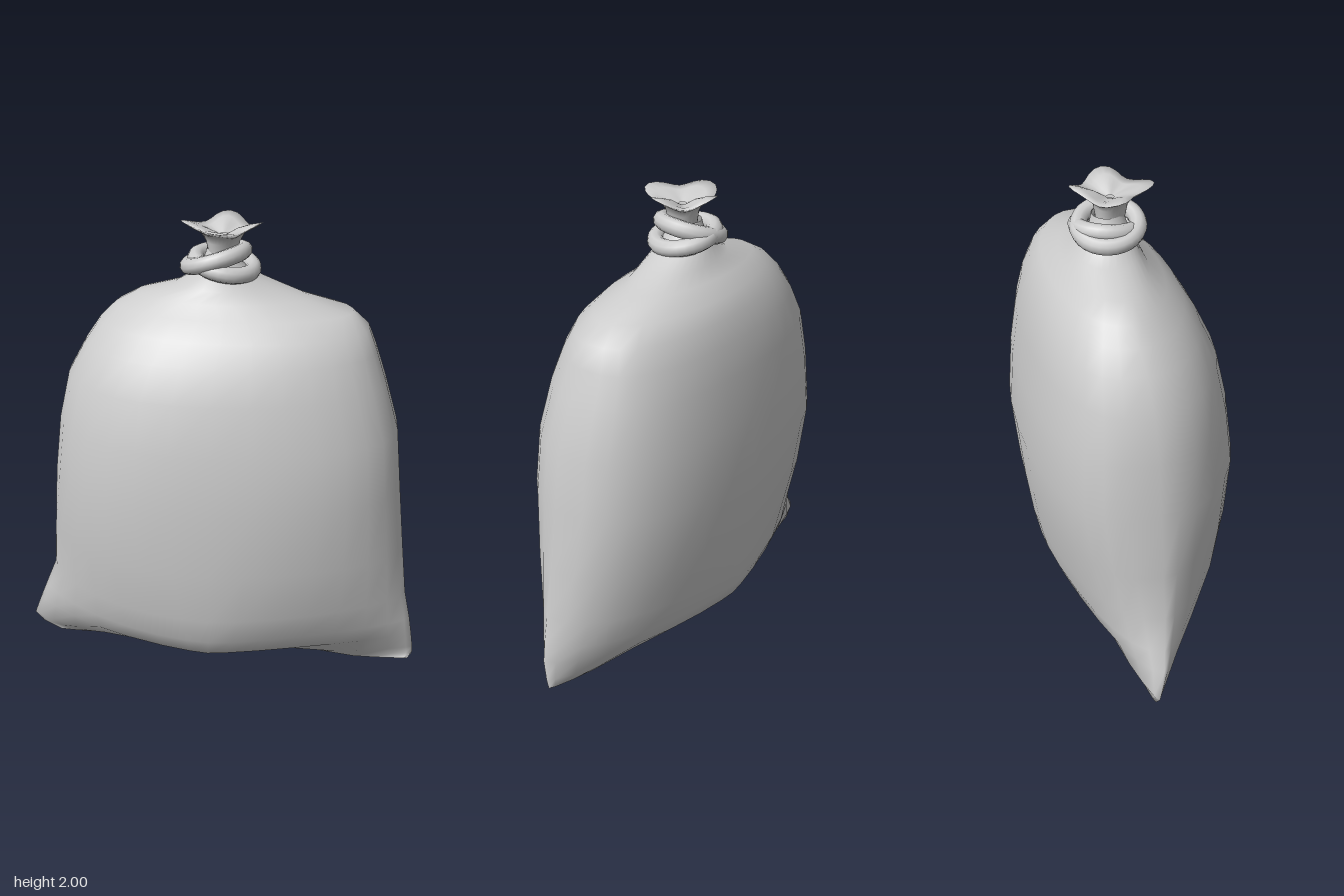
import * as THREE from 'three';

const SEG = 32;

// Skin a stack of closed rings; point(row, angle) gives each vertex
function loft(rows, point, material) {
  const pos = [], idx = [];
  rows.forEach((row, i) => {
    for (let j = 0; j < SEG; j++) {
      pos.push(...point(row, (j / SEG) * Math.PI * 2));
      if (i === rows.length - 1) continue;
      const k = (j + 1) % SEG, a = i * SEG + j, b = i * SEG + k;
      idx.push(a, a + SEG, b, b, a + SEG, b + SEG);
    }
  });
  const g = new THREE.BufferGeometry();
  g.setAttribute('position', new THREE.Float32BufferAttribute(pos, 3));
  g.setIndex(idx);
  g.computeVertexNormals();
  return new THREE.Mesh(g, material);
}

const power = (v, e) => Math.sign(v) * Math.abs(v) ** e;

// Bag cross-sections: y, left x, right x, back z, front z, roundness exponent
const BODY = [
  [0.00, -0.76, 0.86, 0.00, 0.00, 2.0],
  [0.025, -0.85, 0.88, -0.13, 0.09, 1.3],
  [0.075, -0.885, 0.88, -0.22, 0.20, 1.25],
  [0.185, -0.84, 0.87, -0.32, 0.345, 1.35],
  [0.27, -0.805, 0.857, -0.348, 0.38, 1.5],
  [0.40, -0.75, 0.83, -0.375, 0.42, 1.7],
  [0.62, -0.735, 0.805, -0.405, 0.43, 1.95],
  [0.90, -0.71, 0.775, -0.43, 0.435, 2.2],
  [1.15, -0.68, 0.75, -0.41, 0.40, 2.25],
  [1.35, -0.635, 0.69, -0.385, 0.355, 2.25],
  [1.48, -0.565, 0.645, -0.355, 0.295, 2.25],
  [1.57, -0.505, 0.61, -0.32, 0.24, 2.15],
  [1.635, -0.44, 0.54, -0.28, 0.175, 2.0],
  [1.685, -0.35, 0.36, -0.22, 0.11, 2],
  [1.73, -0.19, 0.25, -0.18, 0.085, 2],
  [1.78, -0.11, 0.13, -0.145, 0.07, 2],
  [1.83, -0.07, 0.08, -0.11, 0.04, 2],
  [1.88, -0.055, 0.065, -0.10, 0.025, 2],
];

function bodyPoint([y, xl, xr, zb, zf, n], t) {
  const full = Math.min(1, (zf - zb) / 0.8);
  const x = (xl + xr) / 2 + ((xr - xl) / 2) * power(Math.cos(t), 2 / n);
  // the back is squarer than the front
  const nz = n * (Math.sin(t) < 0 ? 1 + 0.25 * full : 1 - 0.15 * full);
  let z = (zb + zf) / 2 + ((zf - zb) / 2) * power(Math.sin(t), 2 / nz);
  // twist the belly, more in front than at the back
  z -= (0.08 + 0.03 * Math.sin(t)) * x * full * Math.max(0, 1 - (x / 0.88) ** 2);
  // arch the bottom seam between the corners and raise the left tip
  const low = Math.max(0, 1 - y / 0.2);
  const arch = 0.1 * Math.max(0, Math.cos((Math.PI * x) / 1.3)) ** 1.3;
  const lift = 0.02 * Math.max(0, x) + 0.07 * Math.max(0, x - 0.5);
  return [x, y + (arch + lift) * low, z];
}

// Gathered mouth: y, radius, ruffle strength; goes up, out, then folds inward
const MOUTH = [
  [1.86, 0.058, 0.0],
  [1.91, 0.066, 0.1],
  [1.94, 0.082, 0.25],
  [1.96, 0.12, 0.35],
  [1.978, 0.145, 0.4],
  [1.97, 0.10, 0.35],
  [1.955, 0.055, 0.3],
  [1.94, 0.015, 0.0],
];

function mouthPoint([y, r, s], t) {
  const ruffle = 1 + s * (0.38 * Math.cos(4 * t) + 0.15 * Math.cos(3 * t + 2.1));
  const wave = s * (0.03 * Math.cos(4 * t) + 0.02 * Math.sin(3 * t + 0.6));
  return [
    0.012 + r * ruffle * Math.cos(t),
    y + wave,
    -0.025 + r * ruffle * Math.sin(t),
  ];
}

export function createModel() {
  const group = new THREE.Group();
  const skin = new THREE.MeshStandardMaterial({ color: 0xcccccc, side: THREE.DoubleSide });

  const body = loft(BODY, bodyPoint, skin);
  body.name = 'bagBody';
  const mouth = loft(MOUTH, mouthPoint, skin);
  mouth.name = 'gatheredMouth';
  group.add(body, mouth);

  // Two oppositely tilted loops of cord crossing around the neck
  const cord = new THREE.Group();
  cord.name = 'neckTie';
  [['upperCordLoop', -0.02, 1.838, 0.3, -0.08], ['lowerCordLoop', 0.015, 1.818, -0.2, 0.1]]
    .forEach(([name, x, y, tilt, pitch]) => {
      const g = new THREE.TorusGeometry(0.118, 0.034, 10, 28).rotateX(Math.PI / 2);
      const loop = new THREE.Mesh(g, skin);
      loop.name = name;
      loop.position.set(x, y, -0.04);
      loop.rotation.set(pitch, 0, tilt);
      cord.add(loop);
    });
  group.add(cord);

  return group;
}
